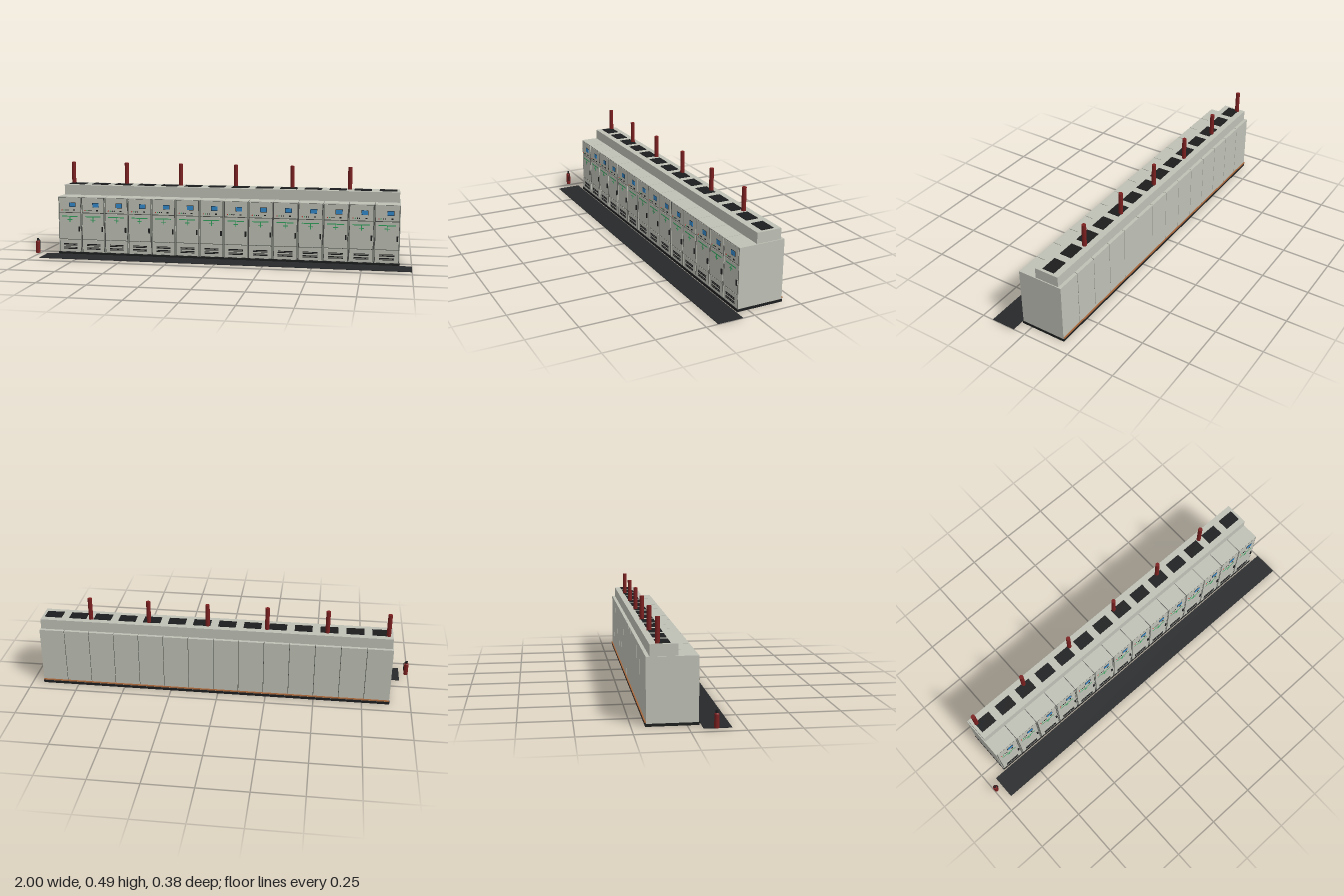
import * as THREE from 'three';

const mat = (name, color) => {
  const m = new THREE.MeshStandardMaterial({ color });
  m.name = name;
  return m;
};

export function createModel() {
  const root = new THREE.Group();
  root.name = 'switchgearRow';
  const M = {
    grey: mat('cabinetGrey', 0xbfc1b6),
    seam: mat('seamGrey', 0x50524e),
    black: mat('black', 0x1c1d1e),
    rubber: mat('rubberMat', 0x26282a),
    red: mat('darkRed', 0x7c1f1f),
    button: mat('buttonRed', 0xc03028),
    blue: mat('screenBlue', 0x3389cc),
    green: mat('mimicGreen', 0x2fa35c),
    copper: mat('copper', 0xa8683c),
  };

  // Box given by its limits on each axis
  const box = (parent, name, m, x0, x1, y0, y1, z0, z1) => {
    const mesh = new THREE.Mesh(new THREE.BoxGeometry(x1 - x0, y1 - y0, z1 - z0), m);
    mesh.position.set((x0 + x1) / 2, (y0 + y1) / 2, (z0 + z1) / 2);
    mesh.name = name;
    parent.add(mesh);
    return mesh;
  };
  const cyl = (parent, name, m, r0, r1, y0, y1, x, z, sides = 16) => {
    const mesh = new THREE.Mesh(new THREE.CylinderGeometry(r1, r0, y1 - y0, sides), m);
    mesh.position.set(x, (y0 + y1) / 2, z);
    mesh.name = name;
    parent.add(mesh);
    return mesh;
  };

  const count = 14, left = -0.89, right = 0.938;
  const pitch = (right - left) / count;
  const face = 0.0525, back = -0.184;

  // Plinth, dark core seen in the seams, and earth bar along the back
  box(root, 'plinth', M.black, left - 0.002, right + 0.002, 0, 0.013, -0.187, 0.056);
  box(root, 'seamCore', M.seam, left + 0.002, right - 0.002, 0.012, 0.313, back + 0.002, face - 0.002);
  box(root, 'earthBar', M.copper, left, right, 0.017, 0.023, -0.19, -0.183);

  // One cabinet, its own x running from 0 to pitch
  const cabinet = (i) => {
    const g = new THREE.Group();
    g.name = 'cabinet' + (i + 1);
    g.position.x = left + i * pitch;
    box(g, 'cabinetBody', M.grey, i ? 0.0015 : 0, i < count - 1 ? pitch - 0.0015 : pitch, 0.013, 0.315, back, face);

    // Doors over a dark backing, so that the gaps read as lines
    box(g, 'doorGaps', M.seam, 0.003, pitch - 0.003, 0.014, 0.312, face, face + 0.0006);
    for (const [name, y0, y1] of [['controlDoor', 0.231, 0.311], ['mainDoor', 0.084, 0.227], ['ventPanel', 0.015, 0.081]]) {
      box(g, name, M.grey, 0.006, pitch - 0.006, y0, y1, face, 0.0542);
    }

    // Control door: screen, meter and buttons
    box(g, 'screenFrame', M.black, 0.063, 0.099, 0.260, 0.285, 0.054, 0.0555);
    box(g, 'screen', M.blue, 0.065, 0.097, 0.262, 0.283, 0.0555, 0.0565);
    [M.button, M.green, M.black, M.black].forEach((m, k) => {
      const b = cyl(g, 'button', m, 0.003, 0.003, 0, 0.003, 0.022 + k * 0.011, 0.0555, 10);
      b.rotation.x = Math.PI / 2;
      b.position.y = 0.243;
    });
    box(g, 'selectorSwitch', M.black, 0.084, 0.094, 0.240, 0.246, 0.054, 0.057);

    // Mimic diagram on the main door
    box(g, 'mimicBar', M.green, 0.02, 0.108, 0.206, 0.211, 0.054, 0.055);
    box(g, 'mimicStem', M.green, 0.063, 0.067, 0.178, 0.206, 0.054, 0.055);
    box(g, 'mimicBranch', M.green, 0.052, 0.078, 0.189, 0.193, 0.054, 0.055);

    // Handle and ventilation slots
    box(g, 'doorHandle', M.black, 0.113, 0.121, 0.128, 0.155, 0.054, 0.059);
    for (const y of [0.031, 0.038, 0.050, 0.057]) {
      box(g, 'ventSlot', M.black, 0.027, 0.104, y - 0.0022, y + 0.0022, 0.054, 0.0555);
    }

    // Relief vent on top of the duct
    box(g, 'roofVent', M.black, pitch / 2 - 0.045, pitch / 2 + 0.045, 0.368, 0.372, -0.135, -0.072);
    root.add(g);
  };
  for (let i = 0; i < count; i++) cabinet(i);

  // Busbar duct along the roof
  box(root, 'roofDuct', M.grey, left + 0.005, right - 0.005, 0.314, 0.369, -0.167, -0.04);

  // Cables rising from the duct
  for (let i = 0; i < 6; i++) {
    cyl(root, 'riserCable', M.red, 0.0112, 0.0112, 0.366, 0.487, -0.861 + i * 0.3065, -0.129);
  }

  // Insulating floor mat
  box(root, 'floorMat', M.rubber, -0.953, 1, 0.0005, 0.0035, 0.063, 0.19);

  // Fire extinguisher
  const ex = new THREE.Group();
  ex.name = 'fireExtinguisher';
  ex.position.set(-0.9885, 0, 0.114);
  cyl(ex, 'bottle', M.red, 0.0115, 0.0115, 0.014, 0.076, 0, 0);
  cyl(ex, 'bottleShoulder', M.red, 0.0115, 0.007, 0.076, 0.081, 0, 0);
  cyl(ex, 'valve', M.black, 0.006, 0.006, 0.08, 0.093, 0, 0, 12);
  const path = new THREE.CatmullRomCurve3([
    new THREE.Vector3(0.003, 0.087, 0), new THREE.Vector3(0.012, 0.082, 0),
    new THREE.Vector3(0.0135, 0.06, 0.001), new THREE.Vector3(0.013, 0.034, 0.002),
  ]);
  const hose = new THREE.Mesh(new THREE.TubeGeometry(path, 16, 0.002, 8), M.black);
  hose.name = 'hose';
  ex.add(hose);
  root.add(ex);

  return root;
}
